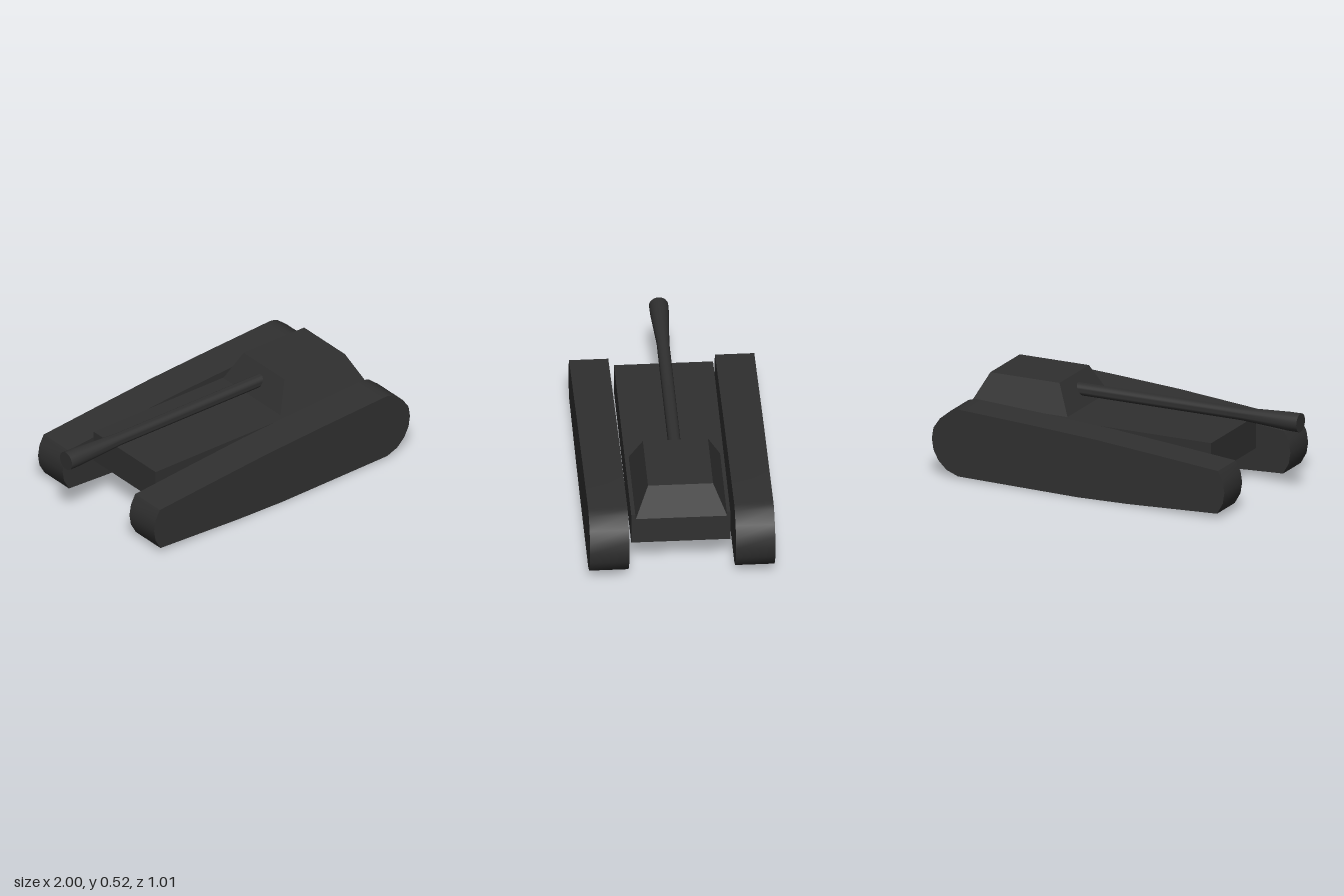
import * as THREE from 'three';
import { toCreasedNormals } from 'three/addons/utils/BufferGeometryUtils.js';

const material = new THREE.MeshStandardMaterial({ color: 0x303030 });

function addPart(parent, name, geometry, x = 0, y = 0, z = 0) {
  const mesh = new THREE.Mesh(geometry, material);
  mesh.name = name;
  mesh.position.set(x, y, z);
  parent.add(mesh);
  return mesh;
}

// Track side outline (x, y), counter-clockwise from the low front corner
const trackOutline = [
  [-0.745, 0.03], [-0.2, 0.006], [0.11, 0], [0.84, 0.013],
  [0.91, 0.04], [0.96, 0.088], [0.99, 0.145], [1, 0.21], [0.99, 0.272],
  [0.95, 0.33], [0.885, 0.383], [0.845, 0.396], [0.81, 0.395],
  [0.4, 0.372], [0, 0.346], [-0.4, 0.309], [-0.75, 0.275],
  [-0.78, 0.218], [-0.79, 0.155], [-0.78, 0.092],
];

function trackGeometry(width) {
  const shape = new THREE.Shape(trackOutline.map(([x, y]) => new THREE.Vector2(x, y)));
  const geometry = new THREE.ExtrudeGeometry(shape, { depth: width, bevelEnabled: false });
  return toCreasedNormals(geometry, 0.6);
}

// Box whose top face is smaller than its base
function turretGeometry() {
  const bottom = { x0: 0.3, x1: 0.89, z: 0.25, y: 0.358 };
  const top = { x0: 0.385, x1: 0.808, z: 0.178, y: 0.521 };
  const geometry = new THREE.BoxGeometry(1, 1, 1);
  const p = geometry.attributes.position;
  for (let i = 0; i < p.count; i++) {
    const level = p.getY(i) > 0 ? top : bottom;
    p.setXYZ(i, p.getX(i) > 0 ? level.x1 : level.x0, level.y, Math.sign(p.getZ(i)) * level.z);
  }
  geometry.computeVertexNormals();
  return geometry;
}

// Barrel turned along its axis, flaring towards the muzzle
function barrelGeometry() {
  const profile = [
    [0, 0], [0.035, 0], [0.035, 1.04], [0.052, 1.33], [0.053, 1.4], [0, 1.4],
  ].map(([r, h]) => new THREE.Vector2(r, h));
  const geometry = new THREE.LatheGeometry(profile, 24);
  geometry.rotateZ(Math.PI / 2);
  return toCreasedNormals(geometry, 0.6);
}

export function createModel() {
  const model = new THREE.Group();
  model.name = 'tank';

  addPart(model, 'hull', new THREE.BoxGeometry(1.42, 0.184, 0.542), 0.12, 0.252, 0);

  // Two mirrored tracks
  const width = 0.215;
  const track = trackGeometry(width);
  addPart(model, 'frontTrack', track, 0, 0, 0.292);
  addPart(model, 'backTrack', track, 0, 0, -0.292 - width);

  const turret = new THREE.Group();
  turret.name = 'turret';
  addPart(turret, 'turretBody', turretGeometry());
  addPart(turret, 'gunBarrel', barrelGeometry(), 0.4, 0.442, 0);
  model.add(turret);

  return model;
}
